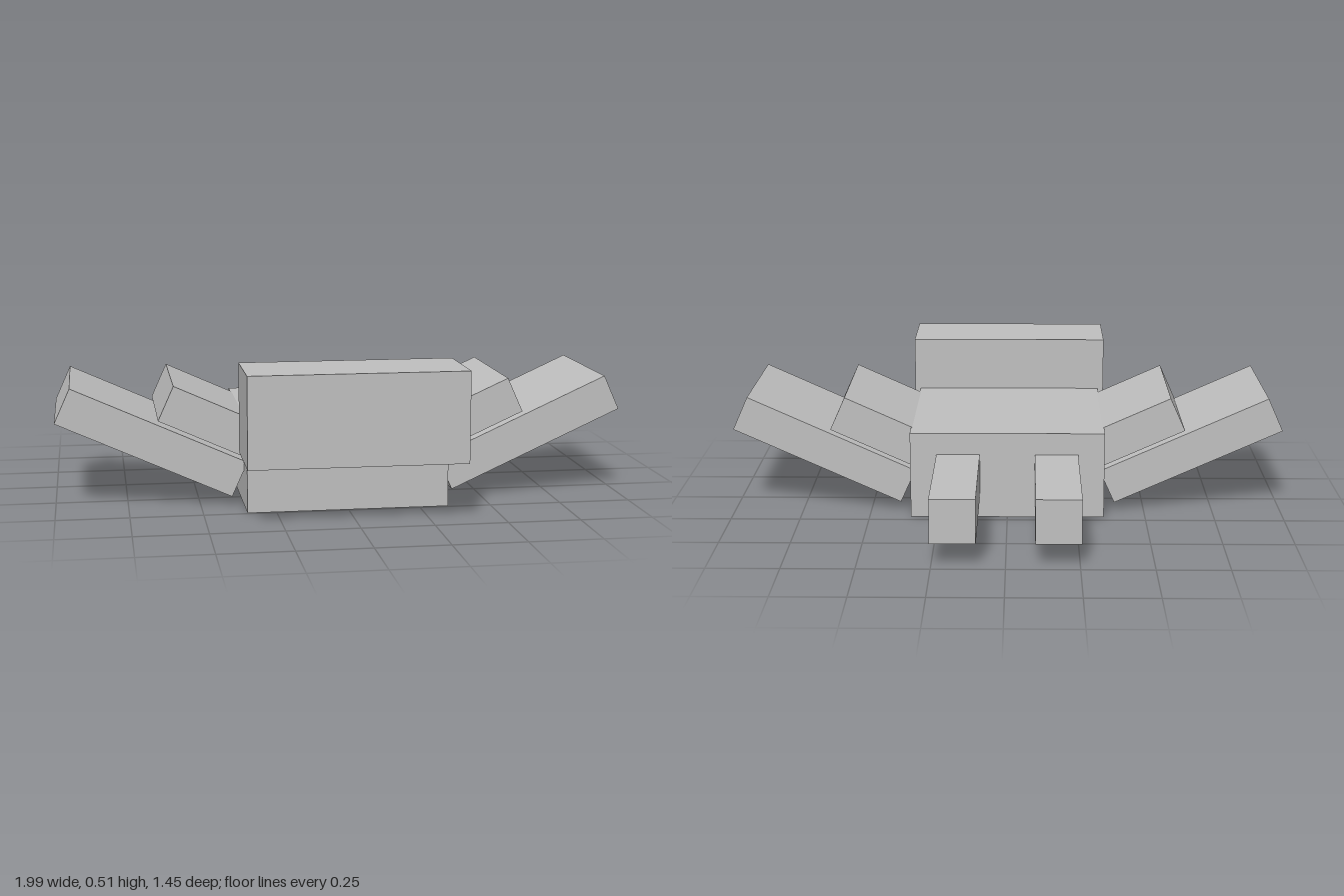
import * as THREE from 'three';

export function createModel() {
  const model = new THREE.Group();
  model.name = 'blockCreature';

  const grey = new THREE.MeshStandardMaterial({ color: 0xc0c0c0 });
  grey.name = 'plain grey';

  // Box given by its size and centre, with an optional roll about z
  function addBox(name, size, centre, roll = 0) {
    const mesh = new THREE.Mesh(new THREE.BoxGeometry(...size), grey);
    mesh.name = name;
    mesh.position.set(...centre);
    mesh.rotation.z = roll;
    model.add(mesh);
  }

  // Body and the overhanging head at the front
  addBox('body', [0.7, 0.315, 0.708], [0, 0.1575, 0.138]);
  addBox('head', [0.742, 0.312, 0.293], [0, 0.356, 0.579]);

  // Mirrored limbs: stacked tilted flippers and rear legs
  const tilt = 0.425;
  for (const [side, s] of [['left', 1], ['right', -1]]) {
    addBox(side + 'LowerFlipper', [0.665, 0.132, 0.509], [s * 0.667, 0.228, 0.116], s * tilt);
    addBox(side + 'UpperFlipper', [0.665, 0.132, 0.509], [s * 0.314, 0.228, 0.116], s * tilt);
    addBox(side + 'RearLeg', [0.156, 0.156, 0.56], [s * 0.177, 0.158, -0.445]);
  }

  return model;
}
